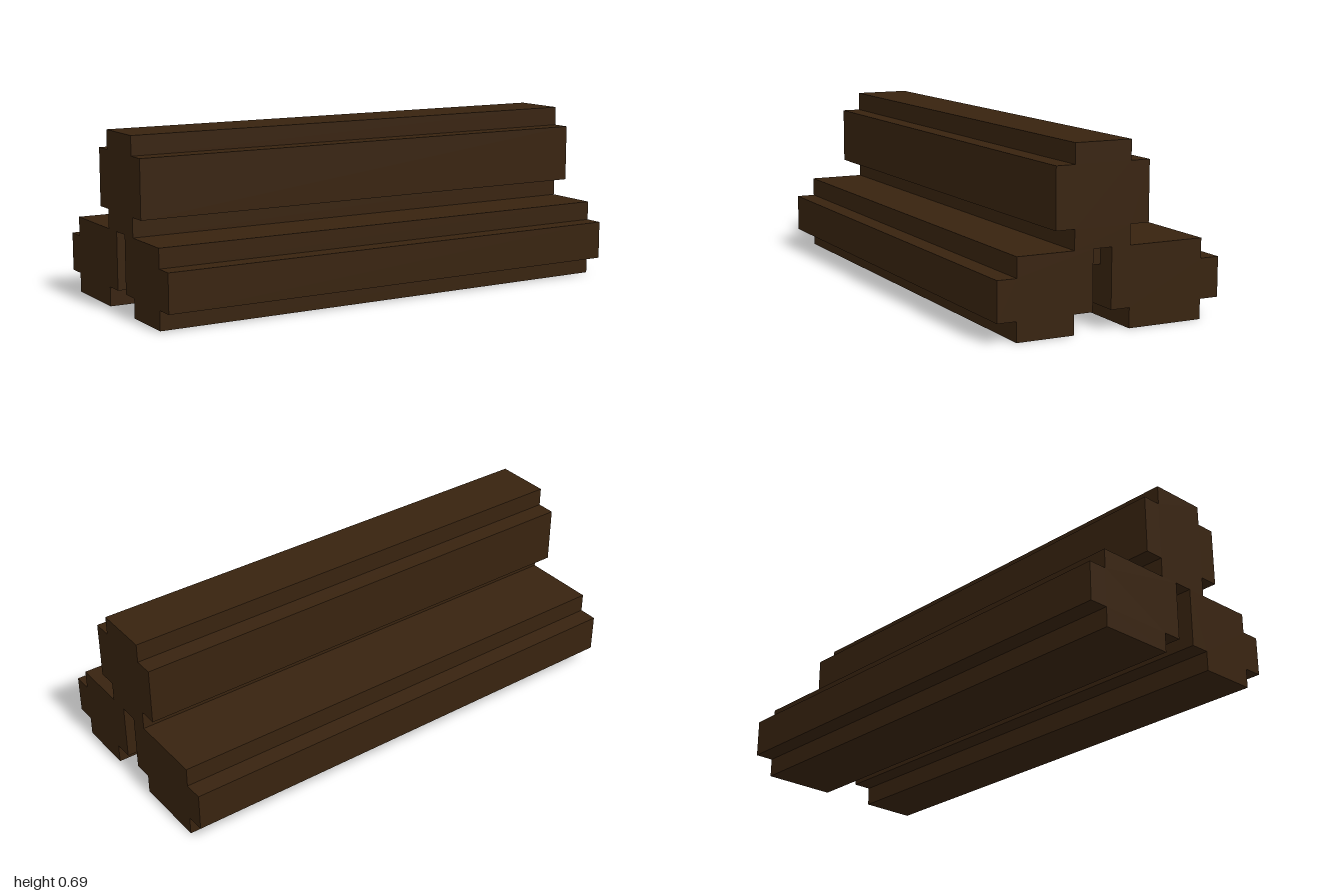
import * as THREE from 'three';

const U = 1 / 13; // one grid cell of the blocky style

// Extrude a stepped [z, y] outline (in cells) along x, centred on x = 0
function beam(name, outline, length, material) {
  const shape = new THREE.Shape(outline.map(([z, y]) => new THREE.Vector2(-z * U, y * U)));
  const geometry = new THREE.ExtrudeGeometry(shape, { depth: length * U, bevelEnabled: false });
  geometry.rotateY(Math.PI / 2);
  geometry.translate((-length * U) / 2, 0, 0);
  const mesh = new THREE.Mesh(geometry, material);
  mesh.name = name;
  return mesh;
}

export function createModel() {
  const group = new THREE.Group();
  group.name = 'logPile';
  const bark = new THREE.MeshStandardMaterial({ color: 0x38230f });
  bark.name = 'darkBark';

  // Two lower logs, separated by a one-cell slot
  group.add(beam('frontLog', [
    [2, 0], [5, 0], [5, 1], [6, 1], [6, 3], [5, 3], [5, 4], [1, 4], [1, 1], [2, 1],
  ], 26, bark));
  group.add(beam('backLog', [
    [-5, 0], [-1, 0], [-1, 1], [0, 1], [0, 4], [-5, 4], [-5, 3], [-6, 3], [-6, 1], [-5, 1],
  ], 26, bark));

  // Upper log resting on both
  group.add(beam('topLog', [
    [-1, 4], [2, 4], [2, 5], [3, 5], [3, 8], [2, 8], [2, 9], [-1, 9], [-1, 8], [-2, 8], [-2, 5], [-1, 5],
  ], 26, bark));

  // Underside of the upper log sinking into the slot, inset at both ends
  group.add(beam('slotFiller', [[0, 3], [1, 3], [1, 4], [0, 4]], 24, bark));

  return group;
}
